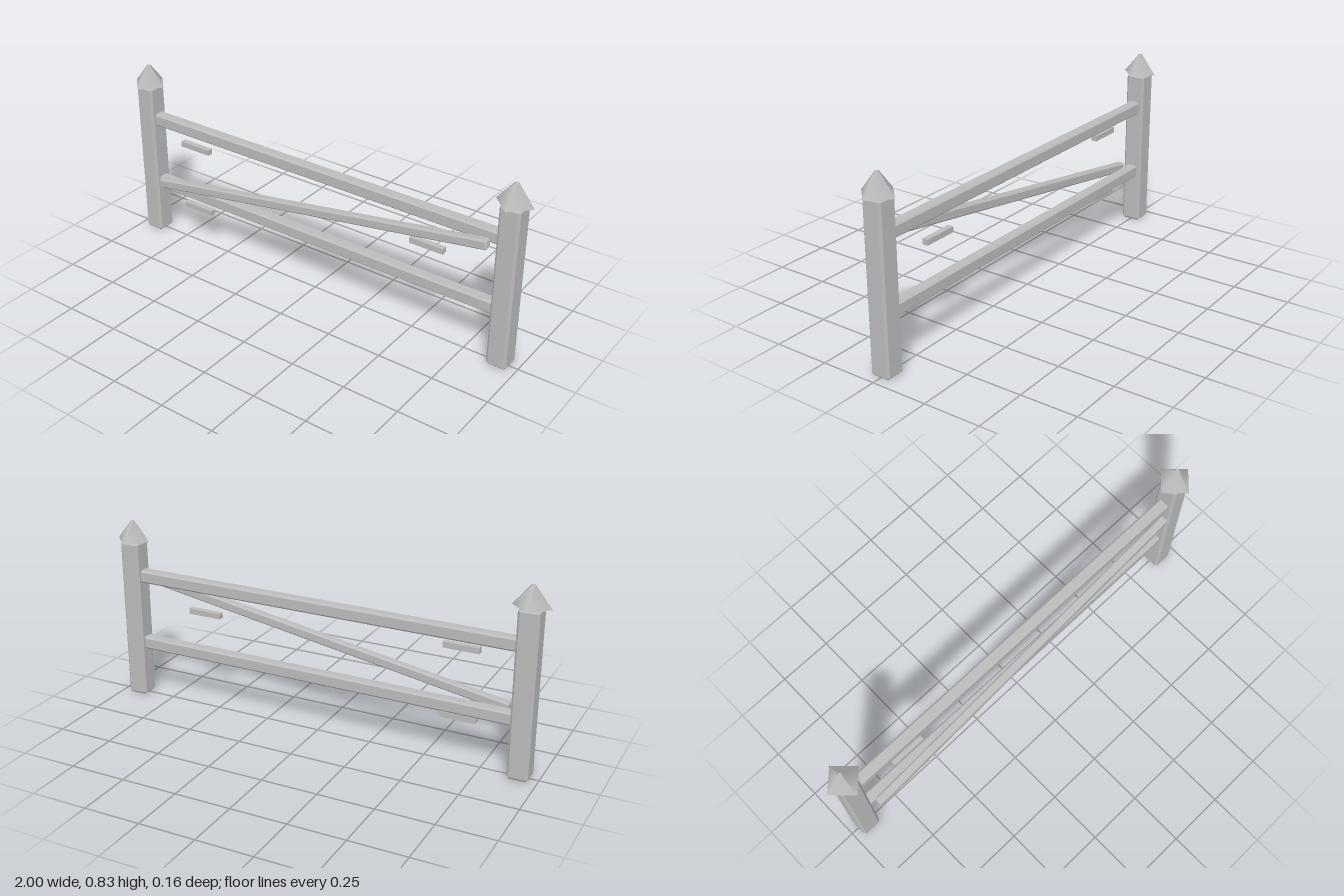
import * as THREE from 'three';
import { ConvexGeometry } from 'three/addons/geometries/ConvexGeometry.js';

// Box with flat chamfers along every edge
function chamferBox(w, h, d, c) {
  const pts = [];
  for (const sx of [-1, 1]) for (const sy of [-1, 1]) for (const sz of [-1, 1]) {
    const x = w / 2, y = h / 2, z = d / 2;
    pts.push(
      new THREE.Vector3(sx * x, sy * (y - c), sz * (z - c)),
      new THREE.Vector3(sx * (x - c), sy * y, sz * (z - c)),
      new THREE.Vector3(sx * (x - c), sy * (y - c), sz * z)
    );
  }
  return new ConvexGeometry(pts);
}

export function createModel() {
  const group = new THREE.Group();
  group.name = 'fence';
  const grey = new THREE.MeshStandardMaterial({ color: 0xbbbbbb });
  grey.name = 'plain grey';

  const add = (name, geometry, x, y, z) => {
    const mesh = new THREE.Mesh(geometry, grey);
    mesh.name = name;
    mesh.position.set(x, y, z);
    group.add(mesh);
    return mesh;
  };

  // Posts with pointed four-sided caps
  const postGeo = chamferBox(0.09, 0.735, 0.09, 0.01);
  const capGeo = new THREE.CylinderGeometry(0.009, 0.081, 0.09, 4);
  for (const [side, s] of [['left', 1], ['right', -1]]) {
    add(side + 'Post', postGeo, s * 0.919, 0.3675, 0);
    add(side + 'PostCap', capGeo, s * 0.919, 0.782, 0);
  }

  // Horizontal rails
  const railGeo = chamferBox(1.77, 0.058, 0.05, 0.008);
  add('upperRail', railGeo, 0, 0.576, 0);
  add('lowerRail', railGeo, 0, 0.256, 0);

  // Diagonal brace across the front
  const brace = add('diagonalBrace', chamferBox(1.713, 0.044, 0.037, 0.007), 0, 0.415, 0.044);
  brace.rotation.z = 0.163;

  // Small loose slats
  const slatGeo = new THREE.BoxGeometry(0.157, 0.025, 0.026);
  add('upperSlat', slatGeo, -0.637, 0.508, 0.023);
  add('lowerSlat', slatGeo, -0.637, 0.198, 0.023);
  add('braceSlat', slatGeo, 0.568, 0.44, 0.023);

  return group;
}
